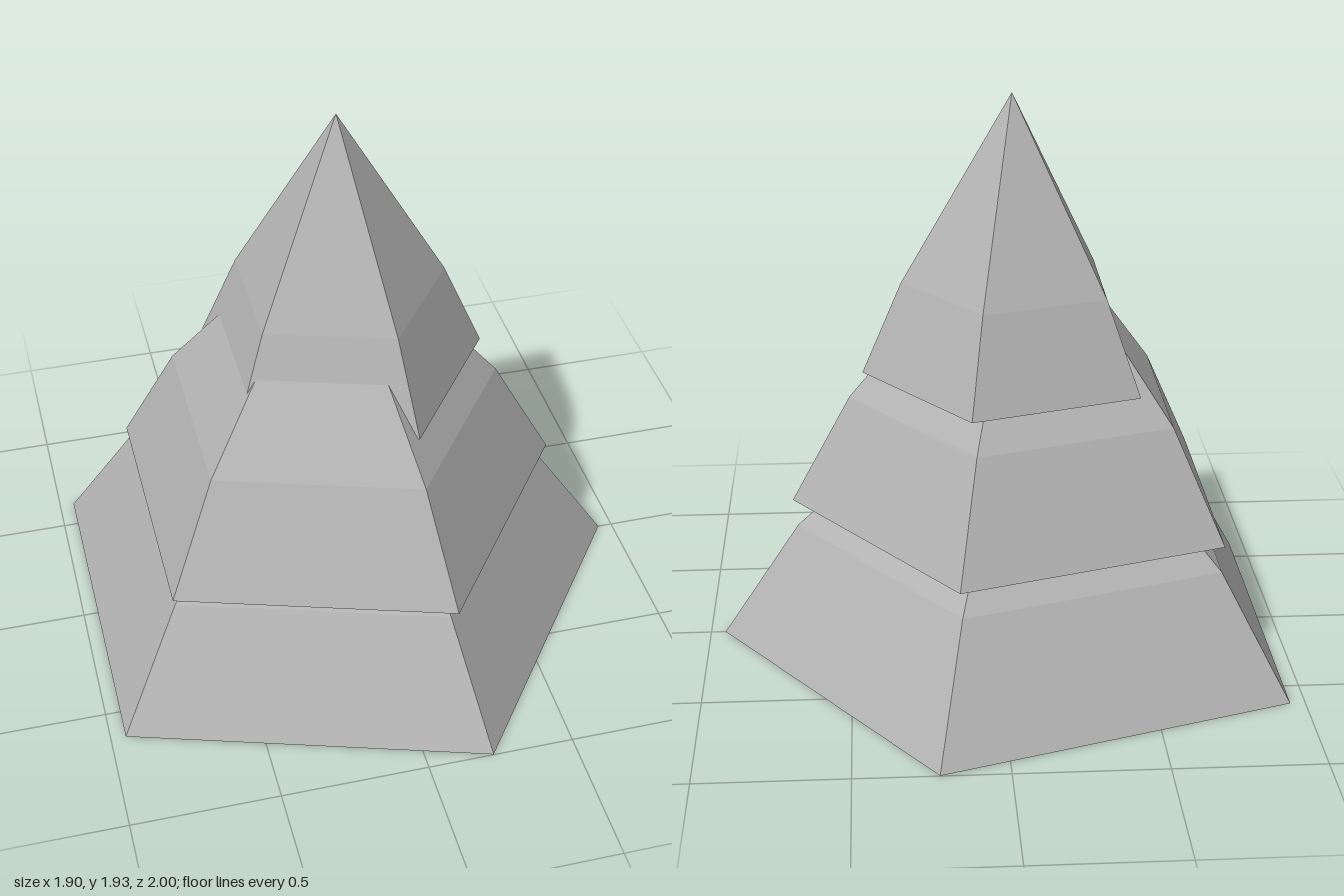
import * as THREE from 'three';

const lightGrey = new THREE.MeshStandardMaterial({ color: 0xb4b4b4 });
lightGrey.name = 'lightGrey';
const darkGrey = new THREE.MeshStandardMaterial({ color: 0x6e6e6e });
darkGrey.name = 'darkGrey';

// Five-sided tier from [radius, height] pairs, with one corner towards +x
function tier(name, x, z, profile) {
  const group = new THREE.Group();
  group.name = name;
  group.position.set(x, 0, z);

  // Sloping sides with flat facets
  const points = profile.map(([r, y]) => new THREE.Vector2(r, y));
  const sides = new THREE.LatheGeometry(points, 5, Math.PI / 2).toNonIndexed();
  sides.computeVertexNormals();
  const skirt = new THREE.Mesh(sides, lightGrey);
  skirt.name = name + 'Sides';

  // Dark underside facing down
  const [radius, height] = profile[0];
  const underside = new THREE.Mesh(new THREE.CircleGeometry(radius, 5).rotateX(Math.PI / 2), darkGrey);
  underside.name = name + 'Underside';
  underside.position.y = height;

  group.add(skirt, underside);
  return group;
}

export function createModel() {
  const tree = new THREE.Group();
  tree.name = 'pineTree';
  tree.add(
    // Each tier: steep skirt, then a slope to its point
    tier('lowerBranches', -0.1, 0, [[1.05, 0], [0.78, 0.41], [0, 1.12]]),
    tier('middleBranches', -0.1, 0.048, [[0.798, 0.483], [0.592, 0.865], [0, 1.58]]),
    tier('upperBranches', -0.06, 0.003, [[0.505, 0.97], [0.37, 1.287], [0, 1.93]])
  );
  return tree;
}
